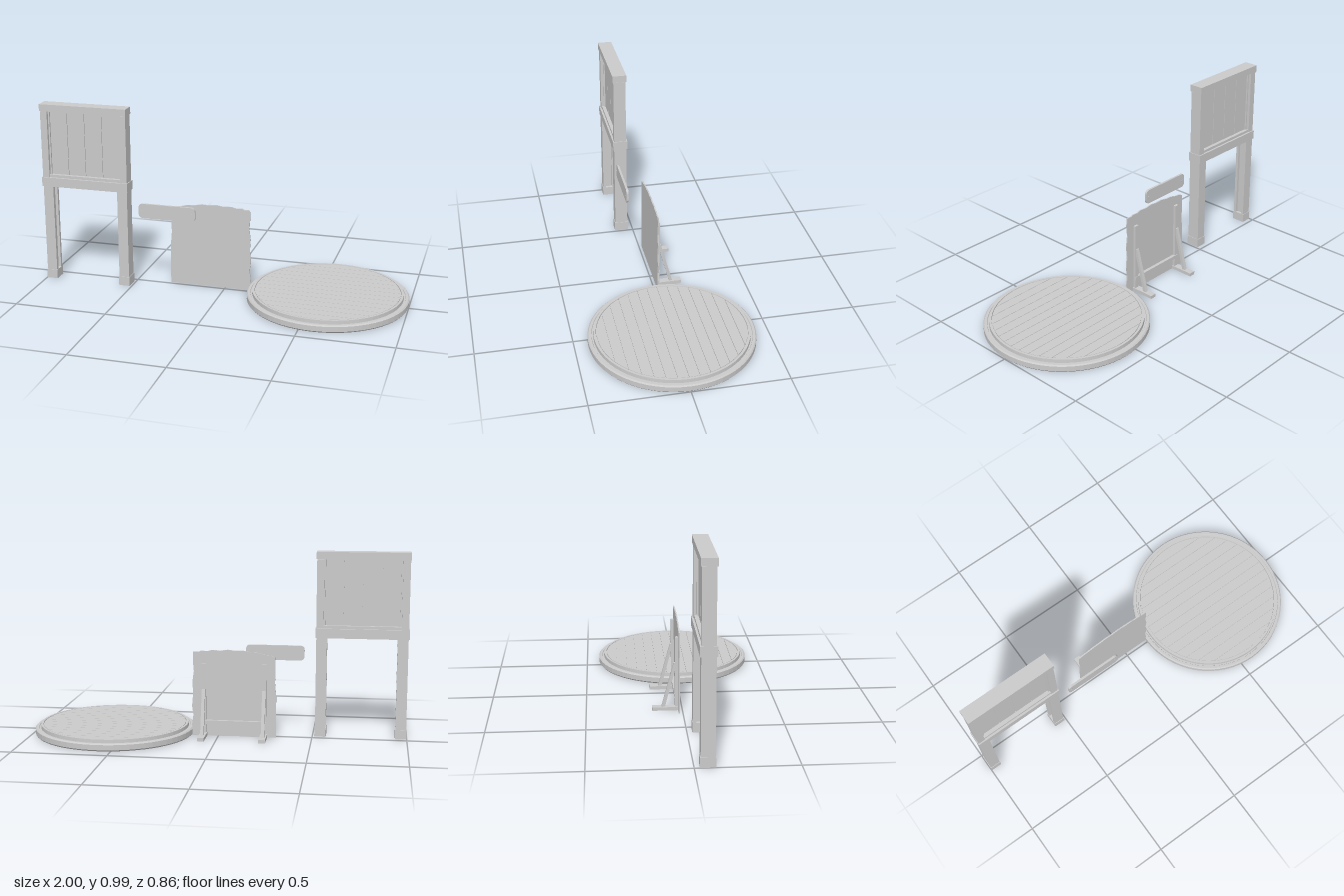
import * as THREE from 'three';

const grey = new THREE.MeshStandardMaterial({ color: 0xcbcbcb });
grey.name = 'plain grey';
grey.flatShading = true;

function add(group, name, geometry) {
  const mesh = new THREE.Mesh(geometry, grey);
  mesh.name = name;
  group.add(mesh);
  return mesh;
}

// Box given by its limits on each axis
function box(group, name, [x0, x1], [y0, y1], [z0, z1]) {
  const mesh = add(group, name, new THREE.BoxGeometry(x1 - x0, y1 - y0, z1 - z0));
  mesh.position.set((x0 + x1) / 2, (y0 + y1) / 2, (z0 + z1) / 2);
  return mesh;
}

function part(parent, name) {
  const g = new THREE.Group();
  g.name = name;
  parent.add(g);
  return g;
}

const polygon = (points) => new THREE.Shape(points.map(([x, y]) => new THREE.Vector2(x, y)));
const extrude = (shape, depth, curveSegments = 6) =>
  new THREE.ExtrudeGeometry(shape, { depth, bevelEnabled: false, curveSegments });

// Tall post frame with a planked window panel
function postFrame(root) {
  const g = part(root, 'postFrame');
  g.position.set(-0.755, 0, 0.065);
  for (const s of [-1, 1]) {
    const span = (a, b) => (s < 0 ? [-b, -a] : [a, b]);
    box(g, 'legCore', span(0.2, 0.241), [0.05, 0.54], [-0.035, 0.035]);
    for (const z of [-1, 1]) {
      box(g, 'legFlange', span(0.185, 0.2), [0.05, 0.54], z < 0 ? [-0.035, -0.019] : [0.019, 0.035]);
    }
    box(g, 'foot', span(0.183, 0.244), [0, 0.05], [-0.038, 0.038]);
    box(g, 'stile', span(0.204, 0.242), [0.585, 0.95], [-0.034, 0.034]);
    box(g, 'sideBead', span(0.196, 0.204), [0.585, 0.95], [-0.018, 0.018]);
  }
  box(g, 'middleRail', [-0.246, 0.246], [0.535, 0.585], [-0.041, 0.041]);
  box(g, 'topRail', [-0.245, 0.245], [0.952, 0.99], [-0.039, 0.039]);
  box(g, 'lowerBead', [-0.204, 0.204], [0.585, 0.6], [-0.03, 0.03]);
  box(g, 'panelBacking', [-0.198, 0.198], [0.595, 0.952], [-0.004, 0.004]);
  // Four vertical planks with thin gaps
  for (let i = 0; i < 4; i++) {
    const x = -0.197 + i * 0.0985;
    box(g, 'panelPlank', [x + 0.0015, x + 0.097], [0.6, 0.95], [-0.01, 0.01]);
  }
}

// Round-cornered hanging sign board
function signBoard(root) {
  const w = 0.158, h = 0.04, r = 0.026;
  const s = new THREE.Shape();
  s.moveTo(-w + r, -h);
  s.lineTo(w - r, -h);
  s.quadraticCurveTo(w, -h, w, -h + r);
  s.lineTo(w, h - r);
  s.quadraticCurveTo(w, h, w - r, h);
  s.lineTo(-w + r, h);
  s.quadraticCurveTo(-w, h, -w, h - r);
  s.lineTo(-w, -h + r);
  s.quadraticCurveTo(-w, -h, -w + r, -h);
  const g = part(root, 'signBoard');
  g.position.set(-0.292, 0.44, 0.088);
  add(g, 'board', extrude(s, 0.012));
  for (const x of [-0.14, 0.14]) {
    const bolt = add(g, 'bolt', new THREE.CylinderGeometry(0.005, 0.005, 0.015, 8));
    bolt.rotation.x = Math.PI / 2;
    bolt.position.set(x, 0, 0.006);
  }
}

// Ragged upright sheet held by two braced stands
function standingSheet(root) {
  const g = part(root, 'standingSheet');
  const outline = [
    [-0.31, 0], [0.14, 0], [0.143, 0.06], [0.136, 0.11], [0.143, 0.16], [0.137, 0.23],
    [0.141, 0.29], [0.133, 0.35], [0.138, 0.41], [0.136, 0.455], [0.105, 0.455], [0.095, 0.461],
    [0.06, 0.459], [0.035, 0.466], [-0.01, 0.463], [-0.05, 0.469], [-0.09, 0.464], [-0.13, 0.466],
    [-0.17, 0.458], [-0.21, 0.456], [-0.25, 0.446], [-0.28, 0.443], [-0.302, 0.434],
    [-0.305, 0.34], [-0.302, 0.3], [-0.309, 0.22],
  ];
  const sheet = add(g, 'sheet', extrude(polygon(outline), 0.007));
  sheet.position.z = -0.023;

  for (const x of [-0.245, 0.078]) {
    box(g, 'upright', [x - 0.012, x + 0.012], [0.01, 0.395], [-0.038, -0.023]);
    box(g, 'standFoot', [x - 0.018, x + 0.018], [0, 0.018], [-0.157, -0.023]);
    // Slanted brace drawn in the side plane
    const brace = add(g, 'brace', extrude(
      polygon([[0.037, 0.222], [0.092, 0.012], [0.11, 0.012], [0.044, 0.256], [0.037, 0.256]]), 0.018));
    brace.rotation.y = Math.PI / 2;
    brace.position.x = x - 0.009;
  }
  box(g, 'crossRail', [-0.257, 0.09], [0.067, 0.086], [-0.041, -0.023]);
}

// Low round platform with a planked deck
function platform(root) {
  const g = part(root, 'platform');
  g.position.x = 0.57;
  const profile = [
    [0, 0.012], [0.395, 0.012], [0.4, 0], [0.424, 0], [0.43, 0.007], [0.43, 0.034],
    [0.424, 0.04], [0.411, 0.04], [0.409, 0.036], [0.401, 0.036], [0.4, 0.055],
    [0.388, 0.055], [0.387, 0.048], [0, 0.048],
  ].map(([x, y]) => new THREE.Vector2(x, y));
  add(g, 'rim', new THREE.LatheGeometry(profile, 64));

  const pitch = 0.055, radius = 0.384, steps = 6;
  for (let i = -7; i < 7; i++) {
    const a = i * pitch + 0.0015, b = (i + 1) * pitch - 0.0015;
    const right = [], left = [];
    for (let k = 0; k <= steps; k++) {
      const z = THREE.MathUtils.clamp(a + ((b - a) * k) / steps, -radius + 0.001, radius - 0.001);
      const x = Math.sqrt(radius * radius - z * z);
      right.push([x, z]);
      left.unshift([-x, z]);
    }
    const plank = add(g, 'deckPlank', extrude(polygon([...right, ...left]), 0.008));
    plank.rotation.x = -Math.PI / 2;
    plank.position.y = 0.046;
  }
}

export function createModel() {
  const root = new THREE.Group();
  root.name = 'propSet';
  postFrame(root);
  signBoard(root);
  standingSheet(root);
  platform(root);
  return root;
}
